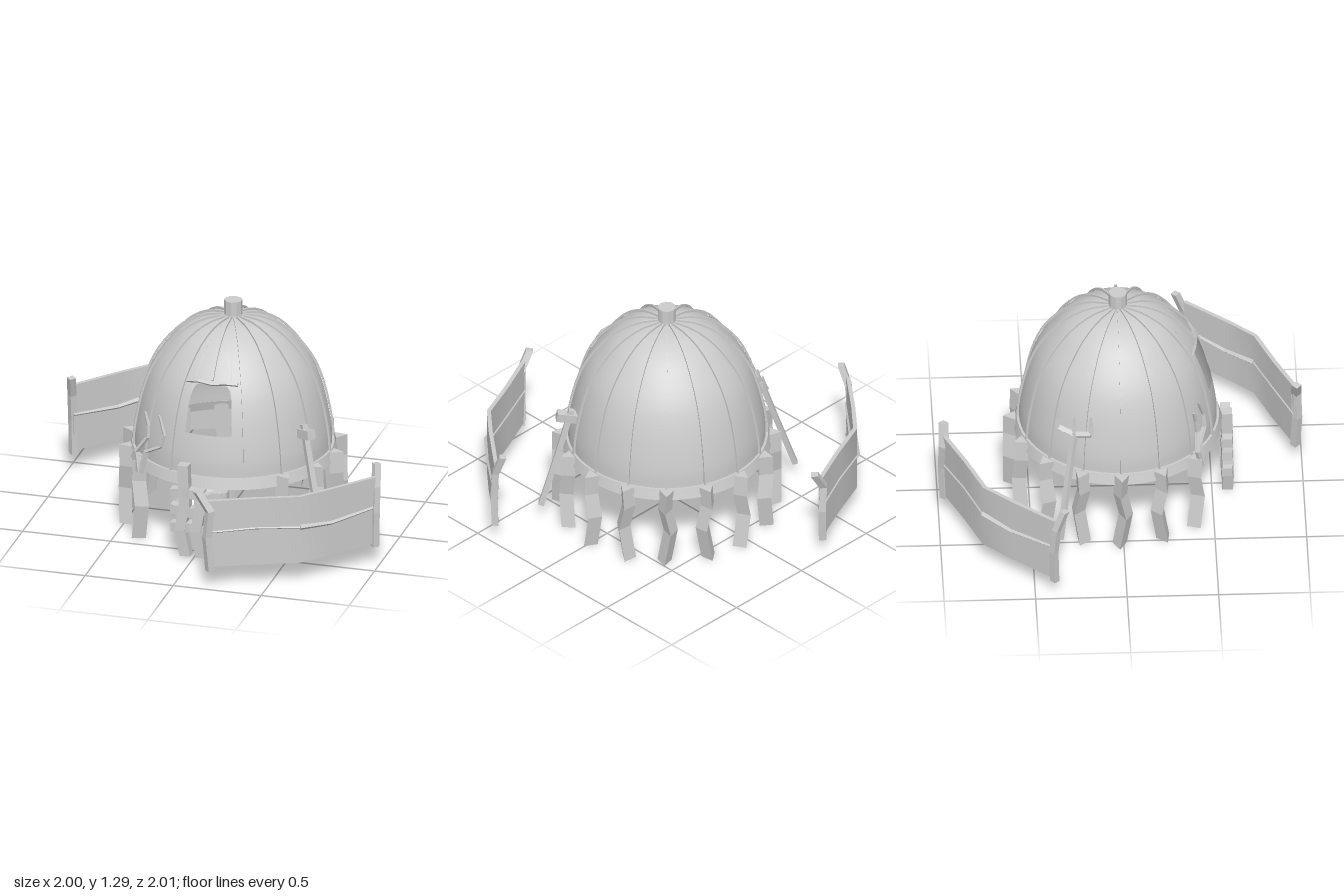
import * as THREE from 'three';
import { ParametricGeometry } from 'three/addons/geometries/ParametricGeometry.js';
import { toCreasedNormals } from 'three/addons/utils/BufferGeometryUtils.js';

const smooth = new THREE.MeshStandardMaterial({ color: 0xcccccc, side: THREE.DoubleSide });
const faceted = new THREE.MeshStandardMaterial({ color: 0xcccccc, flatShading: true });
const V = (x, y, z) => new THREE.Vector3(x, y, z);
const CX = 0.05, CZ = -0.01, STEP = Math.PI / 8;

// dome outline: radius, height
const profile = new THREE.SplineCurve([
  [0.54, 0.46], [0.535, 0.55], [0.513, 0.68], [0.483, 0.8], [0.44, 0.91],
  [0.375, 1.01], [0.28, 1.11], [0.16, 1.175], [0.03, 1.195],
].map(([r, y]) => new THREE.Vector2(r, y)));

// curve parameter of the dome outline at a height
function tAt(y) {
  let lo = 0, hi = 1;
  for (let i = 0; i < 30; i++) {
    const mid = (lo + hi) / 2;
    if (profile.getPoint(mid).y < y) lo = mid; else hi = mid;
  }
  return lo;
}

function add(parent, name, geometry, material = faceted) {
  const mesh = new THREE.Mesh(geometry, material);
  mesh.name = name;
  parent.add(mesh);
}

// kinked stick through the points; one corner of its section faces "facing"
function stick(points, radius, sides = 4, facing = V(0, 0, 1), tip = 1) {
  const n = points.length - 1;
  const dir = points[n].clone().sub(points[0]).normalize();
  const w = facing.clone().addScaledVector(dir, -facing.dot(dir)).normalize();
  const u = dir.clone().cross(w);
  const g = new THREE.CylinderGeometry(radius * tip, radius, 1, sides, n);
  const p = g.attributes.position;
  for (let i = 0; i < p.count; i++) {
    const at = points[Math.round((p.getY(i) + 0.5) * n)].clone();
    at.addScaledVector(u, p.getX(i)).addScaledVector(w, p.getZ(i));
    p.setXYZ(i, at.x, at.y, at.z);
  }
  return g;
}

// piece of the dome wall between two angles, from tLow(angle) to tHigh
function wall(a0, a1, tLow, tHigh, slices, stacks) {
  return new ParametricGeometry((u, v, target) => {
    const a = a0 + (a1 - a0) * u, t0 = tLow(a);
    const p = profile.getPoint(t0 + (tHigh - t0) * v);
    target.set(CX + p.x * Math.sin(a), p.y, CZ + p.x * Math.cos(a));
  }, slices, stacks);
}

function buildDome() {
  const dome = new THREE.Group();
  dome.name = 'dome';
  const half = 0.26;
  // arched window opening left between three wall pieces
  const arch = (a) => {
    const k = Math.max(0, (Math.abs(a) / half - 0.68) / 0.32);
    return tAt(0.95 - 0.07 * (1 - Math.sqrt(Math.max(0, 1 - k * k))));
  };
  add(dome, 'roofWall', wall(half, 2 * Math.PI - half, () => 0, 1, 64, 28), smooth);
  add(dome, 'wallBelowWindow', wall(-half, half, () => 0, tAt(0.69), 10, 8), smooth);
  add(dome, 'wallAboveWindow', wall(-half, half, arch, 1, 30, 14), smooth);

  // ribs; the front one starts above the window
  for (let i = 0; i < 16; i++) {
    const t0 = i === 12 ? tAt(0.97) : 0;
    const inner = [], outer = [];
    for (let k = 0; k <= 20; k++) {
      const t = t0 + (1 - t0) * k / 20, p = profile.getPoint(t), d = profile.getTangent(t);
      inner.push(new THREE.Vector2(p.x + 0.002 * d.y, p.y - 0.002 * d.x));
      outer.push(new THREE.Vector2(p.x + 0.014 * d.y, p.y - 0.014 * d.x));
    }
    const g = new THREE.ExtrudeGeometry(new THREE.Shape([...outer, ...inner.reverse()]),
      { depth: 0.011, bevelEnabled: false });
    g.translate(0, 0, -0.0055).rotateY(i * STEP).translate(CX, 0, CZ);
    add(dome, 'rib', g);
  }

  // sloping rim band below the wall
  const band = [[0.57, 0.4], [0.553, 0.46], [0.538, 0.46]];
  const rim = new THREE.LatheGeometry(band.map(([r, y]) => new THREE.Vector2(r, y)), 64);
  add(dome, 'rim', toCreasedNormals(rim, 0.6).translate(CX, 0, CZ), smooth);
  add(dome, 'chimney', new THREE.CylinderGeometry(0.05, 0.05, 0.11, 10).translate(CX, 1.235, CZ));

  // narrow hood over the window
  const hood = [[-0.15, 0.955, 0.385], [-0.08, 0.968, 0.405], [0, 0.96, 0.412],
    [0.08, 0.968, 0.405], [0.14, 0.96, 0.385]];
  add(dome, 'windowHood', stick(hood.map(([x, y, z]) => V(CX + x, y, z)), 0.012));
  return dome;
}

function buildPosts() {
  const posts = new THREE.Group();
  posts.name = 'posts';
  // the three front places are left free for the gate
  for (let i = 2; i < 15; i++) {
    const a = i * STEP;
    const out = V(Math.sin(a), 0, Math.cos(a)), side = V(out.z, 0, -out.x), s = i % 2 ? 1 : -1;
    const at = (y, lean) => V(CX, y, CZ).addScaledVector(out, 0.582).addScaledVector(side, lean * s);
    add(posts, 'post', stick([at(0, 0.012), at(0.2, -0.022), at(0.34, 0.008), at(0.46, 0)], 0.045, 3, out));
  }
  return posts;
}

function buildGate() {
  const gate = new THREE.Group();
  gate.name = 'gate';
  for (const [x, top] of [[-0.06, 0.54], [0.03, 0.4], [0.13, 0.4]]) {
    add(gate, 'gateStake', stick([V(x + 0.015, 0.01, 0.585), V(x - 0.015, 0.16, 0.59),
      V(x + 0.01, 0.3, 0.585), V(x, top, 0.58)], 0.042, 4, V(1, 0, 1)));
  }
  [0.17, 0.28, 0.37].forEach((y, i) => {
    const w = i % 2 ? -0.012 : 0.012;
    add(gate, 'gateBar', stick([V(-0.13, y, 0.58), V(-0.02, y + w, 0.59), V(0.08, y - w, 0.585),
      V(0.19, y + w, 0.58)], 0.038, 4, V(0, 1, 1)));
  });
  return gate;
}

function buildFence() {
  const fence = new THREE.Group();
  fence.name = 'fence';
  const path = [[0.19, 0.975], [0.42, 0.87], [0.655, 0.775], [0.79, 0.625], [0.975, 0.4]];
  const outer = path.map(([x, z]) => new THREE.Vector2(x, -z));
  const inner = path.map(([x, z]) => new THREE.Vector2(x - 0.012, -z + 0.02)).reverse();
  const panel = new THREE.ExtrudeGeometry(new THREE.Shape([...outer, ...inner]),
    { depth: 0.39, bevelEnabled: false });
  panel.rotateX(-Math.PI / 2).translate(0, 0.12, 0);
  add(fence, 'fencePanel', toCreasedNormals(panel, 0.7), smooth);
  // uneven rails on both faces
  const wave = [0.325, 0.335, 0.33, 0.312, 0.335];
  for (const off of [0, 1]) {
    const pts = path.map(([x, z], i) => V(x - off * 0.012, wave[i], z - off * 0.02));
    add(fence, 'thinRail', stick(pts.slice(0, 3), 0.006, 4, V(0, 1, 0)));
    add(fence, 'thickRail', stick(pts.slice(2), 0.016, 4, V(0, 1, 0), 0.5));
  }
  // leaning end posts
  add(fence, 'fenceEndPost', stick([V(0.2, 0.1, 0.965), V(0.185, 0.3, 0.975), V(0.2, 0.45, 0.97),
    V(0.13, 0.56, 0.97)], 0.028));
  add(fence, 'fenceEndPost', stick([V(0.97, 0.1, 0.395), V(0.975, 0.3, 0.4), V(0.975, 0.45, 0.385),
    V(0.965, 0.57, 0.34)], 0.026));
  return fence;
}

function buildTools() {
  const tools = new THREE.Group();
  tools.name = 'tools';
  // mallet leaning on the left wall
  add(tools, 'malletHandle', stick([V(0.66, 0.1, 0.35), V(0.59, 0.4, 0.3), V(0.525, 0.71, 0.25)], 0.022));
  add(tools, 'malletHead', stick([V(0.48, 0.65, 0.22), V(0.585, 0.675, 0.305)], 0.036, 4, V(0, 1, 1)));
  // pitchfork leaning on the right rear wall
  add(tools, 'forkHandle', stick([V(-0.6, 0.1, -0.35), V(-0.5, 0.42, -0.305), V(-0.42, 0.69, -0.265)], 0.02));
  const bar = [V(-0.45, 0.7, -0.175), V(-0.42, 0.68, -0.265), V(-0.375, 0.7, -0.35)];
  add(tools, 'forkBar', stick(bar, 0.02, 4, V(0, 1, 0)));
  for (const b of bar) {
    add(tools, 'forkProng', stick([b, b.clone().add(V(0.015, 0.05, 0)), b.clone().add(V(0.025, 0.1, 0))],
      0.018, 4, V(0, 0, 1), 0.25));
  }
  // forked branches beside the front right wall
  const branches = [
    [V(-0.36, 0.4, 0.43), V(-0.38, 0.51, 0.41), V(-0.315, 0.6, 0.41), V(-0.315, 0.67, 0.4), V(-0.335, 0.74, 0.39)],
    [V(-0.35, 0.4, 0.43), V(-0.32, 0.52, 0.42), V(-0.23, 0.57, 0.45), V(-0.21, 0.64, 0.445), V(-0.245, 0.74, 0.42)],
  ];
  for (const pts of branches) add(tools, 'branch', stick(pts, 0.018, 4, V(0, 0, 1), 0.5));
  return tools;
}

export function createModel() {
  const hut = new THREE.Group();
  hut.name = 'domeHut';
  const farFence = buildFence();
  farFence.rotation.y = Math.PI;
  hut.add(buildDome(), buildPosts(), buildGate(), buildFence(), farFence, buildTools());
  return hut;
}
